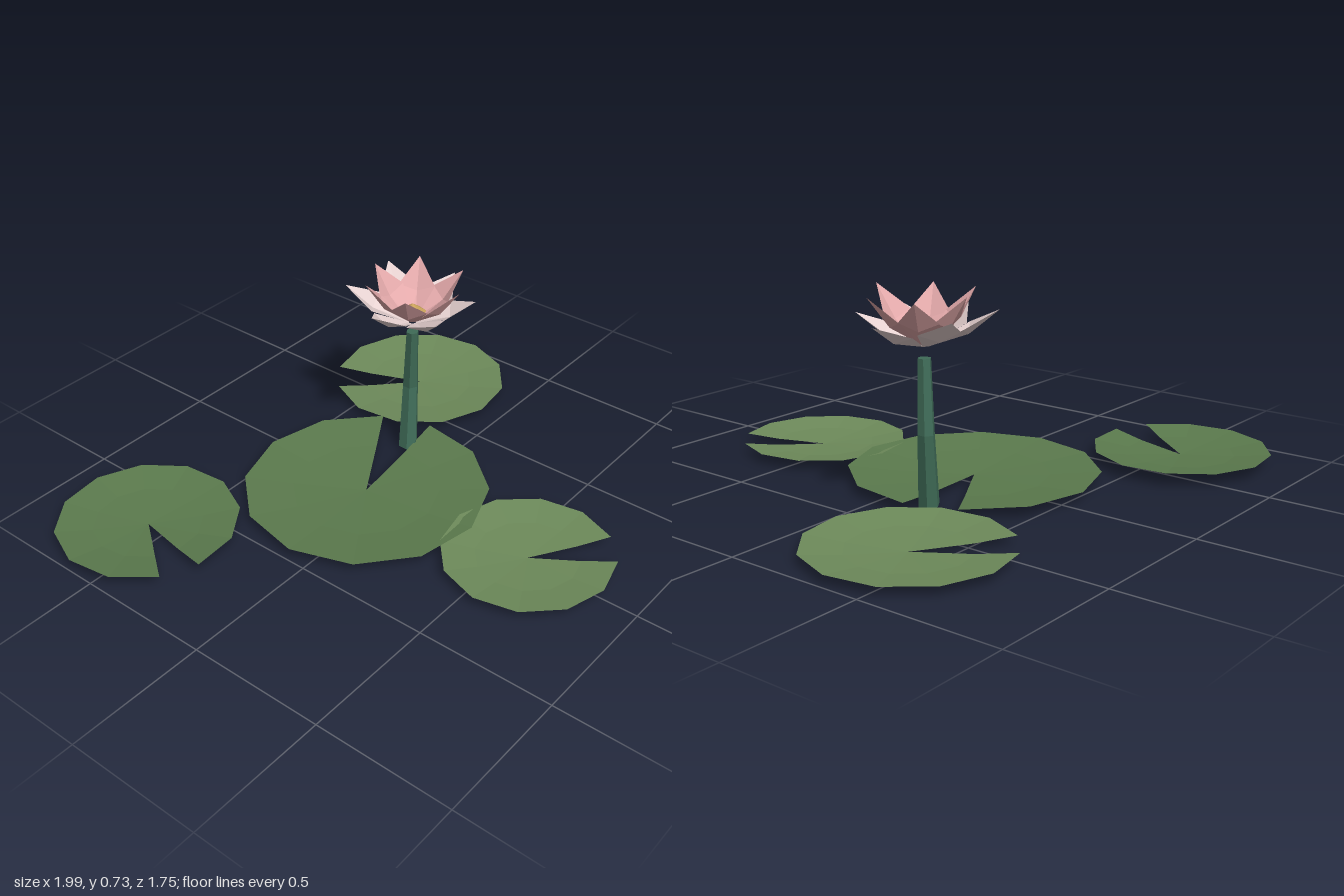
import * as THREE from 'three';

const mat = (color) => new THREE.MeshStandardMaterial({ color, flatShading: true, side: THREE.DoubleSide });

function mesh(name, geometry, material) {
  const m = new THREE.Mesh(geometry, material);
  m.name = name;
  return m;
}

function indexed(points, faces) {
  const g = new THREE.BufferGeometry();
  g.setAttribute('position', new THREE.Float32BufferAttribute(points, 3));
  g.setIndex(faces);
  g.computeVertexNormals();
  return g;
}

// Shallow notched dish: centre point, middle ring and rim, starting at the notch
function padGeometry(radius, rise, startDeg) {
  const sides = 11, step = THREE.MathUtils.degToRad(335.3) / sides;
  const start = THREE.MathUtils.degToRad(startDeg);
  const points = [0, 0, 0], faces = [];
  for (let i = 0; i <= sides; i++) {
    const a = start + i * step;
    for (const [f, h] of [[0.6, 0.4], [1, 1]]) {
      points.push(Math.cos(a) * radius * f, rise * h, Math.sin(a) * radius * f);
    }
    if (i < sides) {
      const p = 1 + i * 2; // p inner, p+1 rim, p+2 next inner, p+3 next rim
      faces.push(0, p + 2, p, p, p + 2, p + 3, p, p + 3, p + 1);
    }
  }
  return indexed(points, faces);
}

// Pointed petal running along +x, folded along its midrib
function petalGeometry(length, height, halfWidth) {
  const mx = length * 0.56, my = height * 0.46;
  const points = [
    0.012, 0, -0.01, 0.012, 0, 0.01,      // base
    mx, my + 0.012, -halfWidth,           // shoulders
    mx, my + 0.012, halfWidth,
    mx + 0.008, my - 0.014, 0,            // midrib
    length, height, 0,                    // tip
  ];
  return indexed(points, [0, 1, 4, 0, 4, 2, 1, 3, 4, 2, 4, 5, 4, 3, 5]);
}

function petalRing(name, count, offsetDeg, lengths, heights, halfWidth, y, material) {
  const ring = new THREE.Group();
  ring.name = name;
  for (let i = 0; i < count; i++) {
    const petal = mesh('petal', petalGeometry(lengths[i], heights[i], halfWidth), material);
    petal.rotation.y = -THREE.MathUtils.degToRad(offsetDeg + i * 360 / count);
    petal.position.y = y;
    ring.add(petal);
  }
  return ring;
}

export function createModel() {
  const model = new THREE.Group();
  const darkGreen = mat(0x5b7a4d), lightGreen = mat(0x6d8a5a);

  // Floating leaves: name, x, y, z, radius, rise, start angle, material
  const pads = [
    ['largePad', -0.045, 0.013, -0.1, 0.444, 0.026, -6.4, darkGreen],
    ['backRightPad', -0.68, 0.023, -0.56, 0.321, 0.026, 126.1, darkGreen],
    ['backLeftPad', 0.655, 0.01, -0.395, 0.337, 0.025, 243.6, lightGreen],
    ['frontPad', 0.008, 0.012, 0.567, 0.303, 0.025, 60.4, lightGreen],
  ];
  for (const [name, x, y, z, radius, rise, start, material] of pads) {
    const pad = mesh(name, padGeometry(radius, rise, start), material);
    pad.position.set(x, y, z);
    model.add(pad);
  }

  // Stem: tapered tube with one bend halfway up
  const stem = new THREE.CylinderGeometry(0.023, 0.037, 0.5, 6, 2);
  const path = [[0.281, 0.005, -0.165], [0.313, 0.257, -0.18], [0.294, 0.503, -0.158]];
  const pos = stem.attributes.position;
  for (let i = 0; i < pos.count; i++) {
    const [x, y, z] = path[Math.round((pos.getY(i) + 0.25) / 0.25)];
    const tilt = y < 0.1 ? -0.13 * pos.getX(i) : 0;
    pos.setXYZ(i, x + pos.getX(i), y + tilt, z + pos.getZ(i));
  }
  model.add(mesh('stem', stem, mat(0x3f6b57)));

  // Flower: two rings of petals around a low faceted heart
  const flower = new THREE.Group();
  flower.name = 'flower';
  flower.position.set(0.294, 0.542, -0.158);
  flower.add(petalRing('outerPetals', 6, 1,
    [0.245, 0.225, 0.225, 0.225, 0.243, 0.252],
    [0.098, 0.103, 0.103, 0.115, 0.128, 0.122], 0.072, 0, mat(0xe8d3d2)));
  flower.add(petalRing('innerPetals', 6, 30,
    [0.193, 0.203, 0.183, 0.178, 0.172, 0.182],
    [0.165, 0.178, 0.172, 0.178, 0.172, 0.165], 0.066, 0.006, mat(0xe3a9aa)));
  const heart = mesh('flowerHeart', new THREE.ConeGeometry(0.05, 0.035, 7), mat(0xc9a25a));
  heart.position.y = 0.058;
  flower.add(heart);
  model.add(flower);

  return model;
}
